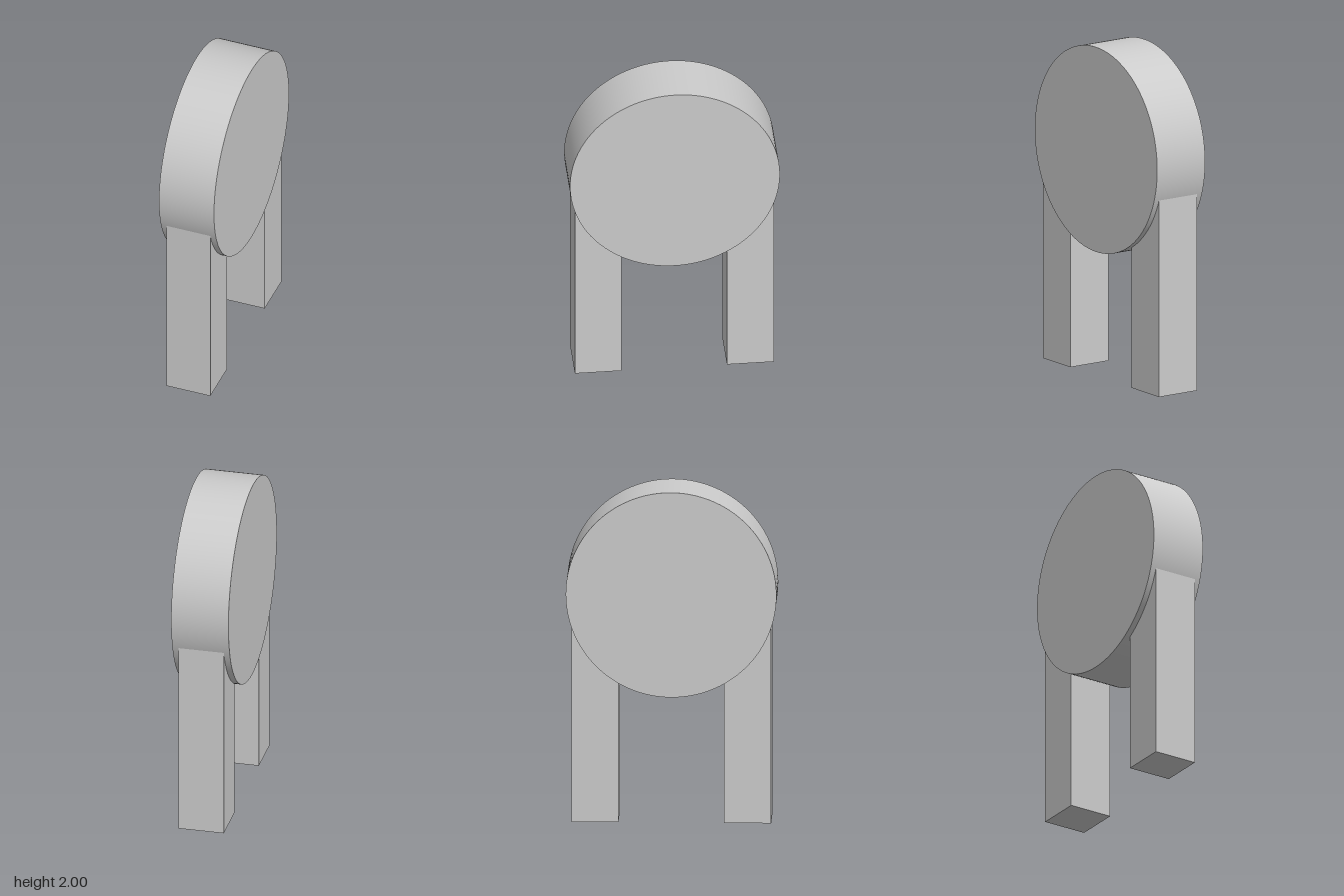
import * as THREE from 'three';

export function createModel() {
  const model = new THREE.Group();
  const material = new THREE.MeshStandardMaterial({ color: 0xcccccc });

  const add = (name, geometry, x, y, z) => {
    const mesh = new THREE.Mesh(geometry, material);
    mesh.name = name;
    mesh.position.set(x, y, z);
    model.add(mesh);
  };

  // Upright disc, its axis running side to side
  const radius = 0.618;
  const disc = new THREE.CylinderGeometry(radius, radius, 0.345, 128).rotateZ(Math.PI / 2);
  add('discBody', disc, 0, 2 - radius, 0);

  // Square legs, their tops sunk into the disc
  const legHeight = 1.25;
  const leg = new THREE.BoxGeometry(0.274, legHeight, 0.276);
  for (const side of [1, -1]) {
    add(side > 0 ? 'frontLeg' : 'backLeg', leg, 0, legHeight / 2, side * 0.448);
  }

  return model;
}
